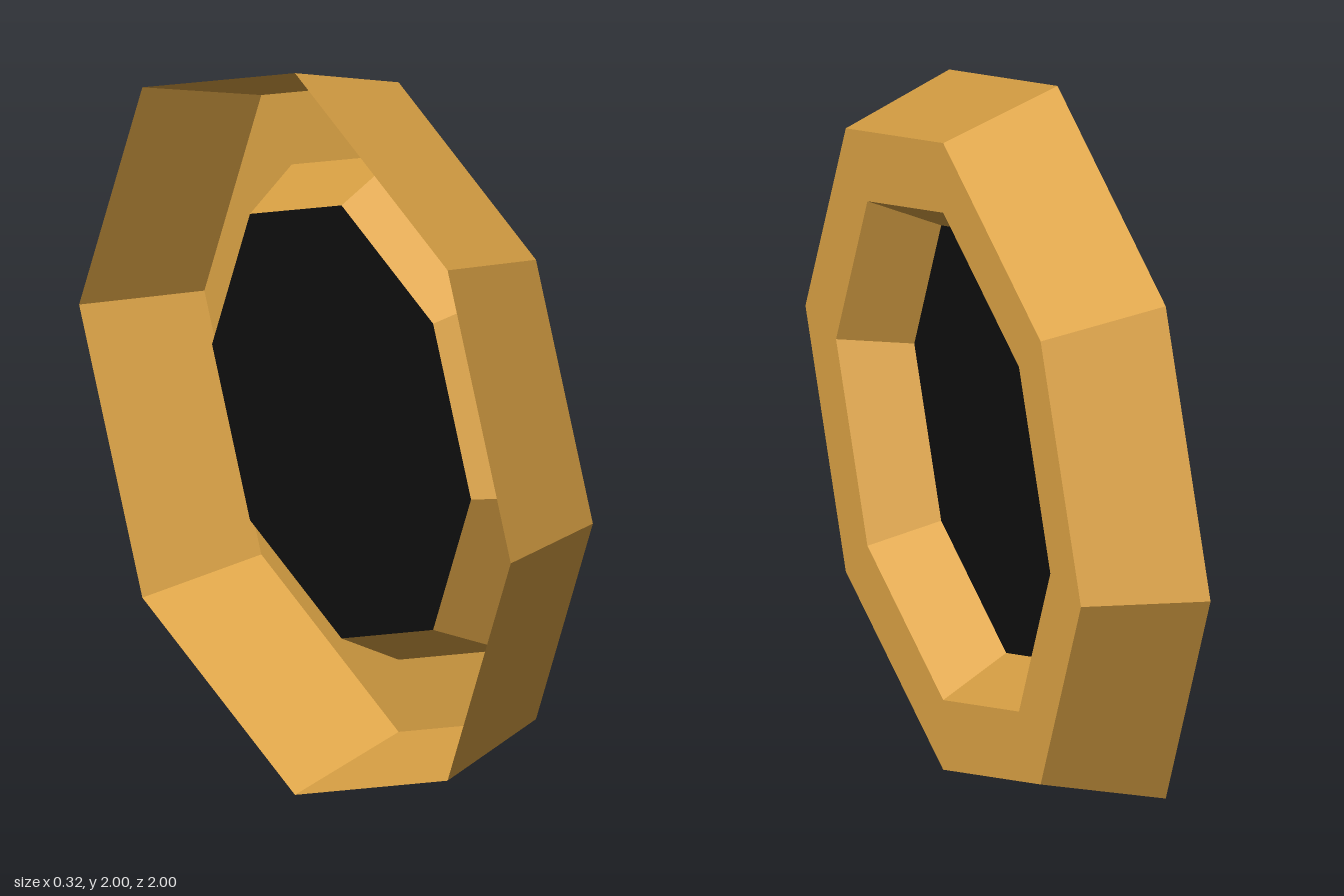
import * as THREE from 'three';

const SIDES = 8;

function material(color) {
  return new THREE.MeshStandardMaterial({ color, flatShading: true, side: THREE.DoubleSide });
}

export function createModel() {
  const group = new THREE.Group();
  group.name = 'octagonalPorthole';

  // Frame: open-backed octagonal shell as (radius, x): outer wall, front rim, inner bevel
  const profile = [[1, -0.158], [0.9, 0.158], [0.7, 0.158], [0.6, -0.016]]
    .map(([r, x]) => new THREE.Vector2(r, x));
  const frameGeometry = new THREE.LatheGeometry(profile, SIDES);
  frameGeometry.rotateZ(-Math.PI / 2); // turn the axis to face +x
  const frame = new THREE.Mesh(frameGeometry, material(0xdca345));
  frame.name = 'frame';

  // Dark pane closing the inner end of the bevel
  const paneGeometry = new THREE.CircleGeometry(0.6, SIDES);
  paneGeometry.rotateY(Math.PI / 2);
  const pane = new THREE.Mesh(paneGeometry, material(0x0e0e0e));
  pane.name = 'pane';
  pane.position.x = -0.016;

  group.add(frame, pane);
  for (const part of group.children) part.position.y = 1;
  return group;
}
